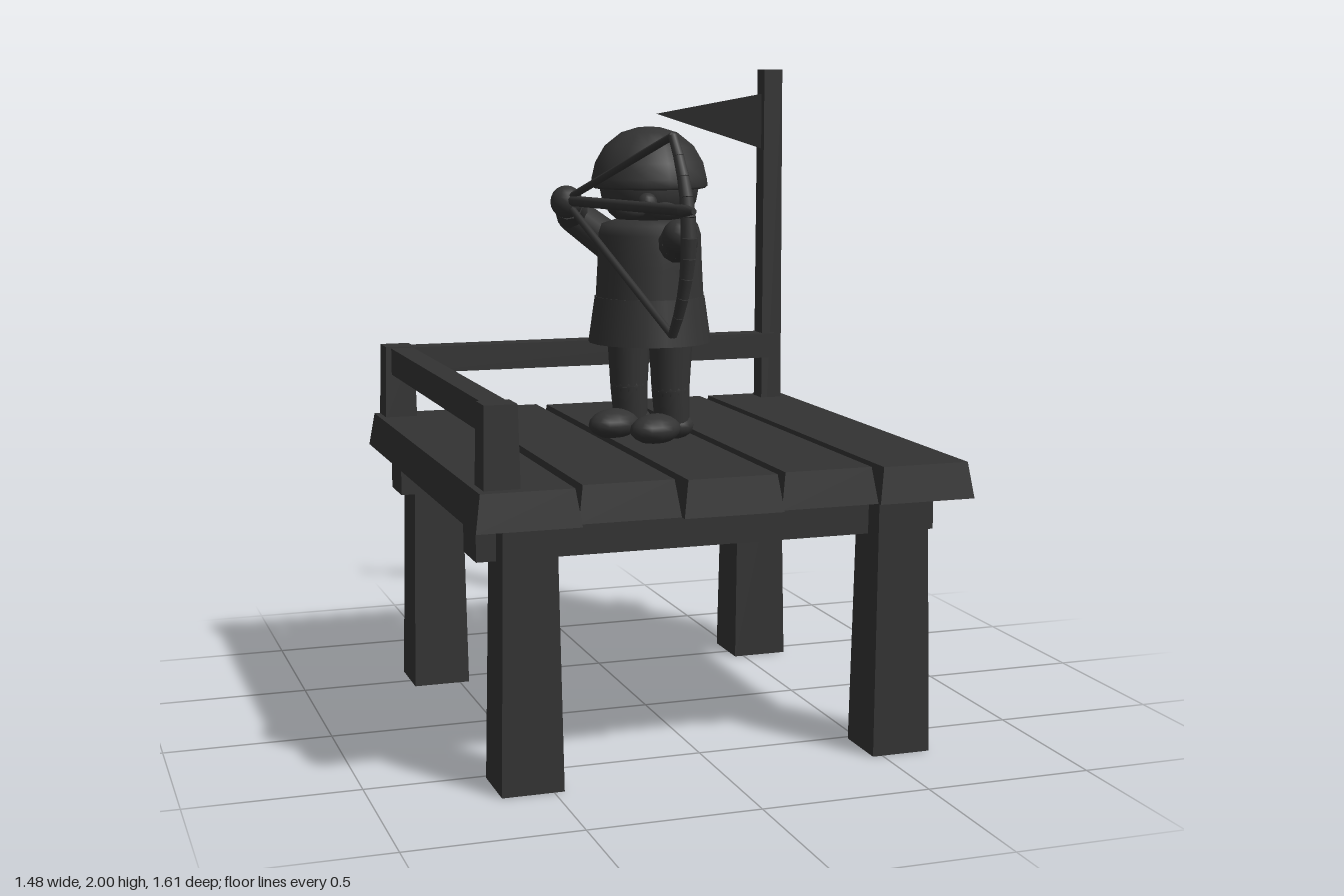
import * as THREE from 'three';

const material = new THREE.MeshStandardMaterial({ color: 0x333333 });
const V = (x, y, z) => new THREE.Vector3(x, y, z);

function add(parent, name, geometry, x = 0, y = 0, z = 0) {
  const mesh = new THREE.Mesh(geometry, material);
  mesh.name = name;
  mesh.position.set(x, y, z);
  parent.add(mesh);
  return mesh;
}

// Box given by its extents; the top face is inset on every side
function block(parent, name, [x0, x1], [y0, y1], [z0, z1], inset = 0) {
  const w = x1 - x0, h = y1 - y0, d = z1 - z0;
  const geo = new THREE.BoxGeometry(w, h, d);
  const p = geo.attributes.position;
  for (let i = 0; i < p.count; i++) {
    if (p.getY(i) < 0) continue;
    p.setX(i, p.getX(i) - Math.sign(p.getX(i)) * inset);
    p.setZ(i, p.getZ(i) - Math.sign(p.getZ(i)) * inset);
  }
  geo.computeVertexNormals();
  return add(parent, name, geo, (x0 + x1) / 2, (y0 + y1) / 2, (z0 + z1) / 2);
}

// Tapered round bar from a to b
function bar(parent, name, a, b, ra, rb, sides = 12) {
  const dir = b.clone().sub(a);
  const mid = a.clone().add(b).multiplyScalar(0.5);
  const mesh = add(parent, name, new THREE.CylinderGeometry(rb, ra, dir.length(), sides), mid.x, mid.y, mid.z);
  mesh.quaternion.setFromUnitVectors(V(0, 1, 0), dir.normalize());
  return mesh;
}

function ball(parent, name, c, rx, ry = rx, rz = rx) {
  const mesh = add(parent, name, new THREE.SphereGeometry(1, 14, 10), c.x, c.y, c.z);
  mesh.scale.set(rx, ry, rz);
  return mesh;
}

function buildPlatform() {
  const g = new THREE.Group();
  g.name = 'platform';
  // Planks with uneven ends
  const ends = [[-0.672, 0.798], [-0.692, 0.76], [-0.672, 0.783], [-0.692, 0.763], [-0.692, 0.778]];
  ends.forEach((z, i) => {
    const x = -0.74 + i * 0.2955;
    block(g, 'plank', [x, x + 0.2955], [0.77, 0.875], z, 0.016);
  });
  // Legs and cross beams
  for (const z of [0.605, -0.52]) {
    for (const x of [-0.56, 0.56]) block(g, 'leg', [x - 0.09, x + 0.09], [0, 0.77], [z - 0.09, z + 0.09], 0.013);
  }
  for (const z of [0.538, -0.453]) block(g, 'crossBeam', [-0.695, 0.69], [0.65, 0.77], [z - 0.073, z + 0.073]);
  // Railing on the back and one side
  for (const z of [0.695, -0.608]) block(g, 'railPost', [-0.705, -0.602], [0.87, 1.105], [z - 0.05, z + 0.05], 0.005);
  block(g, 'sideRail', [-0.683, -0.61], [1.015, 1.1], [-0.6, 0.67]);
  block(g, 'backRail', [-0.66, 0.682], [1.015, 1.1], [-0.648, -0.57]);
  // Flag pole and pennant
  block(g, 'flagPole', [0.615, 0.69], [0.33, 2], [-0.647, -0.573], 0.005);
  const pennant = new THREE.Shape([new THREE.Vector2(0, 1.73), new THREE.Vector2(0.375, 1.85), new THREE.Vector2(0, 1.92)]);
  const geo = new THREE.ExtrudeGeometry(pennant, { depth: 0.03, bevelEnabled: false });
  geo.translate(0, 0, -0.015);
  add(g, 'flag', geo, 0.635, 0, -0.61).rotation.y = Math.PI * 5 / 6;
  return g;
}

function buildBody() {
  const g = new THREE.Group();
  g.name = 'body';
  // Legs and shoes
  for (const s of [1, -1]) {
    const x = s * 0.082;
    bar(g, 'trouserLeg', V(x, 1.03, 0), V(x, 1.2, 0), 0.058, 0.068, 14);
    ball(g, 'knee', V(x, 1.03, 0), 0.058);
    bar(g, 'shin', V(x, 0.9, -0.01), V(x, 1.03, 0), 0.052, 0.058, 14);
    ball(g, 'heel', V(x, 0.914, -0.018), 0.06, 0.042, 0.062);
    ball(g, 'shoe', V(x, 0.914, 0.072), 0.068, 0.046, 0.092);
  }
  // Tunic: flared skirt, chest and rounded shoulders
  add(g, 'skirt', new THREE.CylinderGeometry(0.168, 0.188, 0.14, 20), 0, 1.24, 0);
  const chest = [[0.165, 1.31], [0.16, 1.4], [0.156, 1.5], [0.146, 1.53], [0.1, 1.545], [0, 1.55]];
  add(g, 'chest', new THREE.LatheGeometry(chest.map(([r, y]) => new THREE.Vector2(r, y)), 20));
  return g;
}

function buildHead() {
  const g = new THREE.Group();
  g.name = 'head';
  ball(g, 'face', V(0, 1.635, 0), 0.15, 0.125, 0.15);
  // Domed helmet with a thin rim
  const dome = [[0, 1.638], [0.17, 1.638], [0.178, 1.645], [0.175, 1.668], [0.164, 1.715], [0.135, 1.765], [0.085, 1.805], [0.035, 1.82], [0, 1.823]];
  add(g, 'helmet', new THREE.LatheGeometry(dome.map(([r, y]) => new THREE.Vector2(r, y)), 16));
  // Nose and moustache
  ball(g, 'nose', V(0, 1.6, 0.15), 0.03);
  for (const s of [1, -1]) ball(g, 'moustache', V(s * 0.05, 1.575, 0.13), 0.045, 0.027, 0.03);
  return g;
}

function buildArms() {
  const g = new THREE.Group();
  g.name = 'arms';
  const arms = {
    left: [V(0.05, 1.47, 0.14), V(-0.005, 1.497, 0.33), V(-0.063, 1.522, 0.49)],
    right: [V(-0.07, 1.45, -0.07), V(-0.175, 1.545, -0.18), V(-0.24, 1.595, -0.04)],
  };
  for (const [side, [shoulder, elbow, hand]] of Object.entries(arms)) {
    // The sleeve stops at a cuff just short of the hand
    const cuff = elbow.clone().lerp(hand, 0.75);
    ball(g, side + 'Shoulder', shoulder, 0.06);
    bar(g, side + 'UpperArm', shoulder, elbow, 0.06, 0.054);
    ball(g, side + 'Elbow', elbow, 0.054);
    bar(g, side + 'Sleeve', elbow, cuff, 0.054, 0.045);
    bar(g, side + 'Wrist', cuff, hand, 0.036, 0.036);
    ball(g, side + 'Hand', hand, 0.05);
  }
  return g;
}

function buildBow() {
  const g = new THREE.Group();
  g.name = 'bow';
  const nock = V(-0.245, 1.6, -0.04);
  // Curved stave, thick at the grip and thin at the tips
  const n = 10;
  const at = (i) => {
    const t = (i / n) * 2 - 1, back = t * t;
    return V(-0.068 - 0.02 * back, 1.523 + 0.282 * t, 0.583 - 0.08 * back);
  };
  const radius = (i) => 0.025 - 0.011 * Math.abs((i / n) * 2 - 1);
  for (let i = 0; i < n; i++) bar(g, 'stave', at(i), at(i + 1), radius(i), radius(i + 1), 8);
  // Drawn string
  bar(g, 'upperString', at(n), nock, 0.011, 0.011, 6);
  bar(g, 'lowerString', at(0), nock, 0.011, 0.011, 6);
  // Arrow
  const neck = V(-0.085, 1.6, 0.58);
  bar(g, 'arrowShaft', nock, neck, 0.016, 0.016, 8);
  bar(g, 'arrowHead', neck, V(-0.072, 1.6, 0.635), 0.02, 0.009, 8);
  return g;
}

export function createModel() {
  const model = new THREE.Group();
  model.name = 'archerOnPlatform';
  const body = buildBody();
  body.position.set(-0.002, 0, 0.045);
  body.rotation.y = -1.0;
  const head = buildHead();
  head.position.set(-0.002, 0, 0.04);
  head.rotation.y = -0.36;
  model.add(buildPlatform(), body, head, buildArms(), buildBow());
  return model;
}
